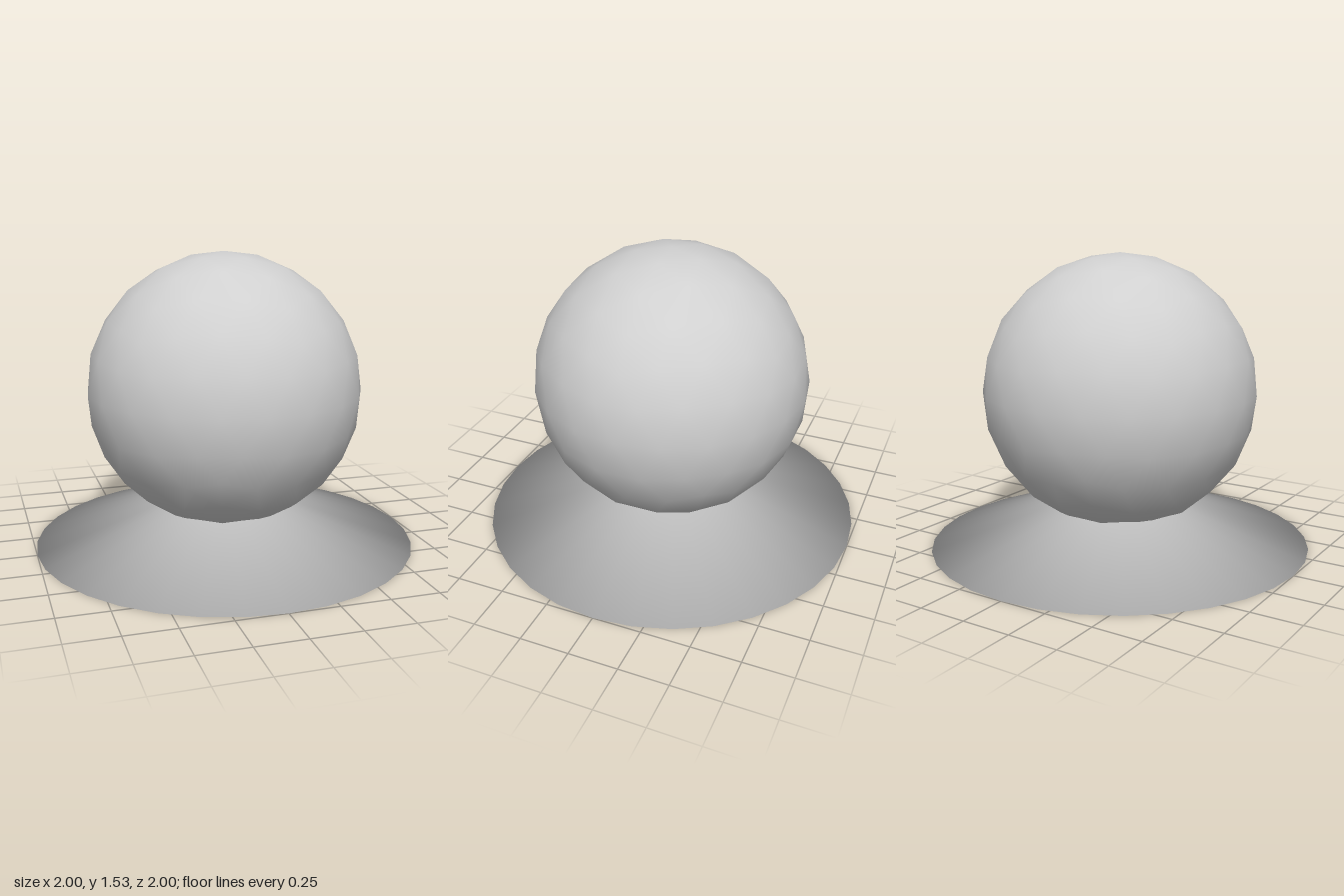
import * as THREE from 'three';

// Solid cone with smooth normals shared across the rim
function smoothCone(radius, height, sides) {
  const slope = new THREE.Vector2(height, radius).normalize();
  const rim = new THREE.Vector2(slope.x, slope.y - 1).normalize();
  const pos = [], nor = [], index = [];
  for (let i = 0; i < sides; i++) {
    const a = (i / sides) * Math.PI * 2;
    const s = Math.sin(a), c = Math.cos(a);
    pos.push(radius * s, 0, radius * c);
    nor.push(rim.x * s, rim.y, rim.x * c);
  }
  pos.push(0, height, 0);
  nor.push(0, 1, 0);
  for (let i = 0; i < sides; i++) {
    const next = (i + 1) % sides;
    index.push(i, next, sides); // sloping side
    if (i > 0 && i < sides - 1) index.push(0, next, i); // flat underside
  }
  const geo = new THREE.BufferGeometry();
  geo.setAttribute('position', new THREE.Float32BufferAttribute(pos, 3));
  geo.setAttribute('normal', new THREE.Float32BufferAttribute(nor, 3));
  geo.setIndex(index);
  return geo;
}

export function createModel() {
  const group = new THREE.Group();
  const grey = new THREE.MeshStandardMaterial({ color: 0xd0d0d0 });
  grey.name = 'lightGrey';

  // Wide shallow cone the ball rests in
  const base = new THREE.Mesh(smoothCone(1, 0.333, 32), grey);
  base.name = 'coneBase';
  group.add(base);

  // Faceted ball with smooth normals, one corner pointing straight up
  const ballGeo = new THREE.IcosahedronGeometry(0.715, 3);
  ballGeo.rotateZ(-Math.atan(2 / (1 + Math.sqrt(5))));
  const ball = new THREE.Mesh(ballGeo, grey);
  ball.name = 'ball';
  ball.position.y = 0.815;
  group.add(ball);

  return group;
}
